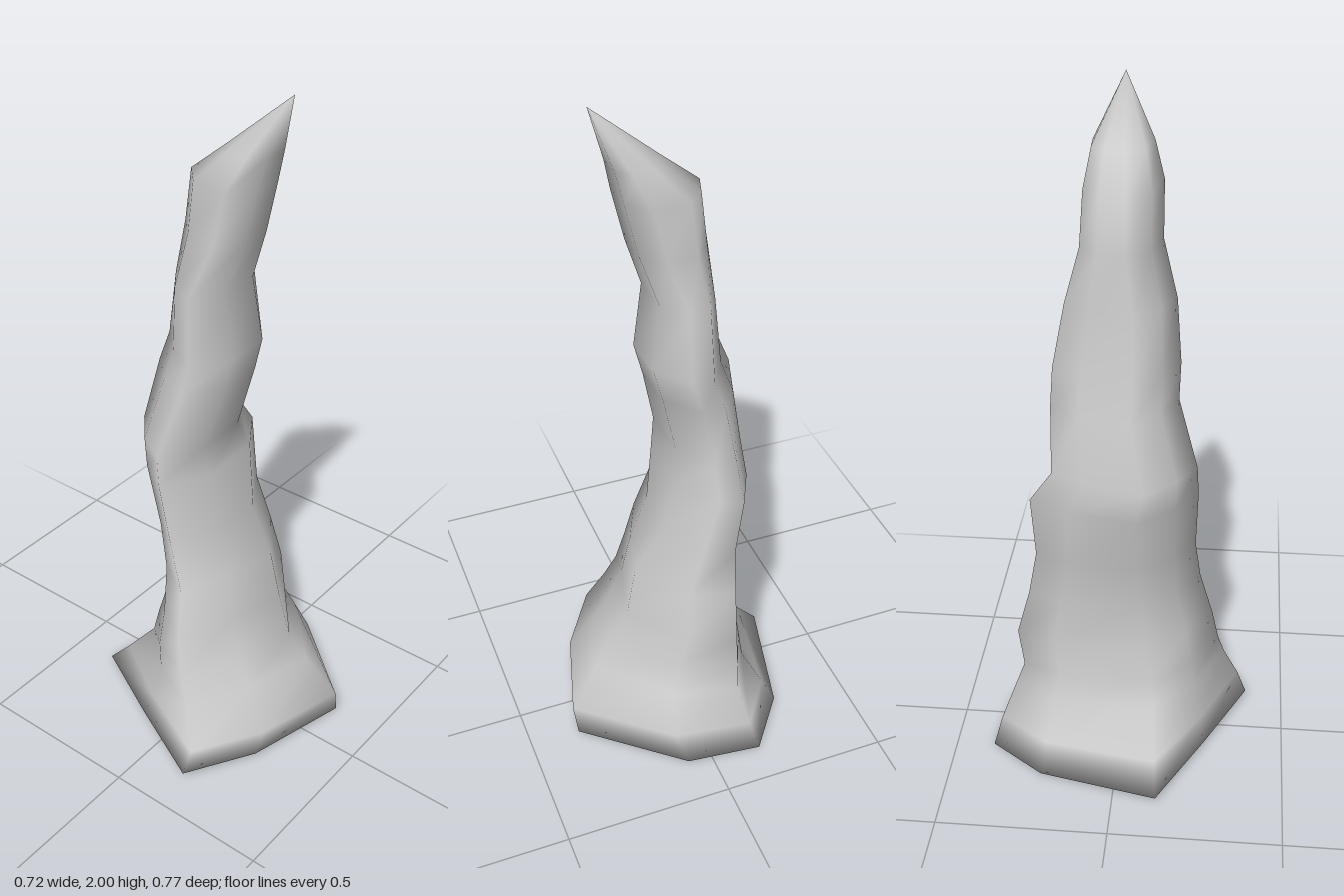
import * as THREE from 'three';

// Unit outlines (x, z in -1..1), running left, front, right, back
const FOOT = [[-1, 0.33], [-0.28, 0.67], [0.45, 1], [0.78, 0.48], [1, -0.35], [0.22, -0.94], [-0.4, -1], [-0.75, -0.58]];
const ROOT = [[-1, 0.35], [-0.5, 0.74], [0.25, 1], [0.7, 0.42], [0.98, -0.2], [0.18, -0.82], [-0.7, -1], [-0.97, -0.6]];
const SHAFT = [[-1, 0.3], [-0.35, 0.74], [0.4, 1], [1, 0.42], [0.95, -0.4], [0.3, -0.92], [-0.18, -1], [-0.62, -0.52]];
const CROWN = [[-1, 0.15], [-0.5, 0.76], [0.52, 1], [1, 0.42], [0.97, -0.5], [0.48, -1], [-0.4, -0.97], [-0.8, -0.52]];

// Heights over which each outline turns into the next
const MORPHS = [[ROOT, 0, 0.28], [SHAFT, 0.55, 0.9], [CROWN, 1.35, 1.7]];

// Height, then the extent of each section: xMin, xMax, zMin, zMax
const SECTIONS = [
  [0.01, -0.36, 0.35, -0.385, 0.385],
  [0.09, -0.29, 0.36, -0.36, 0.355],
  [0.21, -0.19, 0.27, -0.315, 0.31],
  [0.29, -0.17, 0.22, -0.287, 0.29],
  [0.4, -0.145, 0.165, -0.305, 0.27],
  [0.55, -0.15, 0.135, -0.265, 0.23],
  [0.69, -0.17, 0.06, -0.24, 0.215],
  [0.88, -0.23, 0.025, -0.25, 0.22],
  [0.97, -0.228, 0.01, -0.187, 0.215],
  [1.16, -0.195, 0.055, -0.19, 0.158],
  [1.26, -0.155, 0.08, -0.187, 0.16],
  [1.45, -0.13, 0.055, -0.152, 0.147],
  [1.6, -0.11, 0.105, -0.113, 0.105],
  [1.75, -0.09, 0.14, -0.105, 0.103],
  [1.84, 0.02, 0.16, -0.09, 0.075],
];
const TIP = [0.21, 2, -0.01];

// Morph the outline for this height, then fill the section's extent
function sectionPoints([y, x0, x1, z0, z1]) {
  let outline = FOOT;
  for (const [next, from, to] of MORPHS) {
    const t = THREE.MathUtils.clamp((y - from) / (to - from), 0, 1);
    outline = outline.map((p, i) => p.map((c, k) => THREE.MathUtils.lerp(c, next[i][k], t)));
  }
  return outline.map(([u, v]) => [
    (x0 + x1 + u * (x1 - x0)) / 2, y, (z0 + z1 + v * (z1 - z0)) / 2,
  ]);
}

export function createModel() {
  const group = new THREE.Group();
  group.name = 'rockSpire';
  const n = FOOT.length;
  const rings = SECTIONS.map(sectionPoints);

  // The foot rises slightly towards the front
  for (const p of rings[0]) p[1] = 0.01 + p[2] * 0.026;

  const points = rings.flat();
  const tip = points.push(TIP) - 1;
  const base = points.push([0, 0.01, 0]) - 1;

  // Sections joined upward, closed at the leaning tip and under the foot
  const index = [];
  const last = rings.length - 1;
  for (let r = 0; r <= last; r++) {
    for (let i = 0; i < n; i++) {
      const a = r * n + i;
      const b = r * n + (i + 1) % n;
      if (r === 0) index.push(base, b, a);
      if (r === last) index.push(a, b, tip);
      else index.push(a, b, b + n, a, b + n, a + n);
    }
  }

  const geometry = new THREE.BufferGeometry();
  geometry.setAttribute('position', new THREE.Float32BufferAttribute(points.flat(), 3));
  geometry.setIndex(index);
  geometry.computeVertexNormals();
  const spire = new THREE.Mesh(geometry, new THREE.MeshStandardMaterial({ color: 0xcccccc }));
  spire.name = 'spire';
  group.add(spire);
  return group;
}
